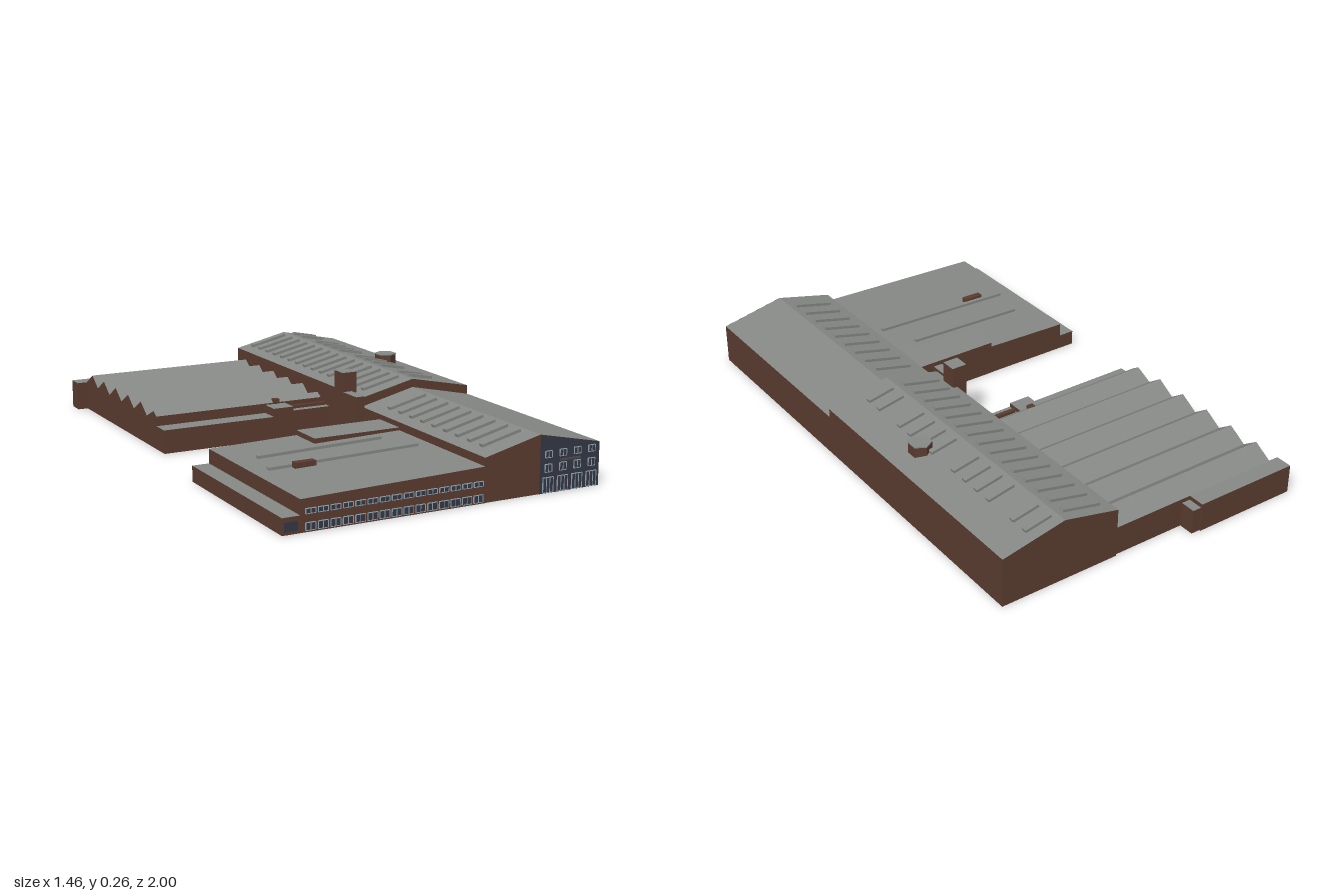
import * as THREE from 'three';

const mat = (color) => new THREE.MeshStandardMaterial({ color, side: THREE.DoubleSide, flatShading: true });

export function createModel() {
  const model = new THREE.Group();
  const site = new THREE.Group();
  site.name = 'factory';
  site.rotation.y = 0.183;
  model.add(site);

  const brick = mat(0x5a3c30), roof = mat(0x858885), glass = mat(0x343644), frame = mat(0x8fa3ad), dark = mat(0x4a4a4a);

  const add = (name, geo, m, parent = site) => {
    const mesh = new THREE.Mesh(geo, m);
    mesh.name = name;
    parent.add(mesh);
    return mesh;
  };

  // Box given by its centre and size
  const box = (name, x, y, z, w, h, d, m, parent = site) => {
    const b = add(name, new THREE.BoxGeometry(w, h, d), m, parent);
    b.position.set(x, y, z);
    return b;
  };

  // Open-bottomed building: a roof profile swept along z, or along x when alongX is set
  function building(name, profile, from, to, alongX = false) {
    const g = new THREE.Group();
    g.name = name;
    const pts = alongX ? profile.map(([a, h]) => [-a, h]).reverse() : profile;
    const walls = [], tops = [];
    for (let i = 0; i < pts.length - 1; i++) {
      const [a, h] = pts[i], [b, k] = pts[i + 1];
      const p = [[a, h, to], [b, k, to], [b, k, from], [a, h, from]];
      const target = Math.abs(a - b) < 1e-6 ? walls : tops;
      for (const j of [0, 1, 2, 0, 2, 3]) target.push(...p[j]);
    }
    const contour = pts.map(([a, h]) => new THREE.Vector2(a, h)).reverse();
    for (const tri of THREE.ShapeUtils.triangulateShape(contour, [])) {
      for (const j of tri) walls.push(contour[j].x, contour[j].y, to);
      for (const j of [...tri].reverse()) walls.push(contour[j].x, contour[j].y, from);
    }
    for (const [n, list, m] of [['Walls', walls, brick], ['Roof', tops, roof]]) {
      const geo = new THREE.BufferGeometry();
      geo.setAttribute('position', new THREE.Float32BufferAttribute(list, 3));
      geo.computeVertexNormals();
      add(name + n, geo, m, g);
    }
    if (alongX) g.rotation.y = Math.PI / 2;
    site.add(g);
    return g;
  }
  const flat = (name, x0, x1, z0, z1, h, h2 = h) =>
    building(name, [[x0, 0], [x0, h], [x1, h2], [x1, 0]], z0, z1);

  // Main hall in two heights
  const L = 0.13, R = 0.575, M = 0.34;
  const hall = (name, z0, z1, eave, ridge) =>
    building(name, [[L, 0], [L, eave], [M, ridge], [R, eave], [R, 0]], z0, z1);
  hall('frontHall', 0.12, 0.903, 0.148, 0.198);
  hall('rearHall', -0.911, 0.12, 0.18, 0.228);

  // Skylight bars lying down the hall slopes
  const skylight = (side, z, eave, ridge, len) => {
    const edge = side < 0 ? L : R;
    const slope = (ridge - eave) / Math.abs(edge - M);
    const x = M + side * (0.02 + len / 2);
    const s = box('skylight', x, ridge - slope * (0.02 + len / 2) + 0.003, z, len, 0.014, 0.02, roof);
    s.rotation.z = -side * Math.atan(slope);
  };
  for (let i = 0; i < 9; i++) skylight(-1, 0.24 + i * 0.072, 0.148, 0.198, 0.15);
  for (let i = 0; i < 15; i++) {
    const z = -0.86 + i * 0.065;
    skylight(-1, z, 0.18, 0.228, 0.15);
    if (i % 5 !== 2) skylight(1, z, 0.18, 0.228, 0.1);
  }

  // Roof house on the right slope
  const hut = add('roofHouse', new THREE.CylinderGeometry(0.04, 0.04, 0.05, 6), brick);
  hut.position.set(0.472, 0.208, -0.3);
  const hutTop = add('roofHouseTop', new THREE.CylinderGeometry(0.041, 0.041, 0.004, 6), roof);
  hutTop.position.set(0.472, 0.234, -0.3);

  // Front wing with its low side strip and raised rear corner
  flat('frontWing', -0.524, L, 0.249, 0.905, 0.105, 0.12);
  flat('sideStrip', -0.585, -0.524, 0.249, 0.905, 0.055);
  flat('raisedCorner', -0.198, L, 0.248, 0.38, 0.13);
  for (const [z, x0, x1] of [[0.44, -0.44, 0.02], [0.58, -0.47, 0.08]]) {
    const bar = box('roofLight', (x0 + x1) / 2, 0.115, z, x1 - x0, 0.014, 0.016, roof);
    bar.rotation.z = 0.023;
  }
  box('roofVent', -0.352, 0.116, 0.6, 0.075, 0.022, 0.025, brick);

  // Sawtooth wing: steep sides face the front
  const z0 = -0.905, z1 = -0.19, low = 0.105, high = 0.145;
  const teeth = [[z0, 0], [z0, low]];
  for (let i = 0; i < 5; i++) {
    const z = -0.836 + i * 0.125;
    teeth.push([z, high], [z + 0.056, low]);
  }
  teeth.push([-0.215, 0.135], [z1, 0.12], [z1, 0]);
  building('sawtoothWing', teeth, -0.53, L, true);
  flat('rearAnnex', -0.568, -0.178, -0.965, -0.903, 0.105);
  flat('rearAnnexEnd', -0.178, -0.145, -0.96, -0.905, 0.09);

  // Low range in front of the sawtooth wing
  flat('frontRange', -0.53, -0.1, -0.19, -0.12, 0.085);
  flat('linkBlock', -0.1, -0.02, -0.235, -0.12, 0.115);
  flat('linkPassage', -0.02, L, -0.19, -0.12, 0.1);
  box('linkVent', -0.055, 0.122, -0.2, 0.025, 0.02, 0.025, brick);
  box('linkBeam', 0.055, 0.105, -0.155, 0.14, 0.012, 0.015, brick);

  // Stair tower and its lower block
  flat('tower', 0.092, 0.15, -0.012, 0.046, 0.26);
  flat('towerBlock', 0.095, L, 0.046, 0.14, 0.19);

  // Window: dark pane with a pale surround, set on a wall facing +z
  function window_(x, y, z, w, h, bars = 1) {
    const g = new THREE.Group();
    g.name = 'window';
    box('pane', 0, 0, 0, w, h, 0.003, glass, g);
    for (const s of [-1, 1]) box('frameRail', 0, s * h / 2, 0.001, w, 0.002, 0.004, frame, g);
    for (let i = 0; i <= bars; i++) box('frameBar', (i / bars - 0.5) * w, 0, 0.001, 0.002, h, 0.004, frame, g);
    g.position.set(x, y, z);
    site.add(g);
  }

  // Two rows of windows along the front wing
  for (let i = 0; i < 15; i++) {
    const x = -0.49 + i * 0.0425;
    window_(x, 0.018, 0.906, 0.034, 0.024, 2);
    window_(x, 0.066, 0.906, 0.034, 0.016, 2);
  }
  box('stripWindow', -0.555, 0.025, 0.906, 0.045, 0.03, 0.003, glass);

  // Glazed right half of the front gable
  const pane = new THREE.Shape([[M, 0], [R, 0], [R, 0.147], [M, 0.197]].map(([x, y]) => new THREE.Vector2(x, y)));
  add('gableGlazing', new THREE.ShapeGeometry(pane), glass).position.z = 0.905;
  for (let i = 0; i < 4; i++) {
    const x = 0.372 + i * 0.057;
    window_(x, 0.028, 0.906, 0.04, 0.05, 3);
    window_(x, 0.084, 0.906, 0.026, 0.026, 2);
    window_(x, 0.13, 0.906, 0.026, 0.022, 2);
  }
  box('gableCanopy', 0.458, 0.106, 0.908, 0.08, 0.006, 0.006, dark);

  return model;
}
